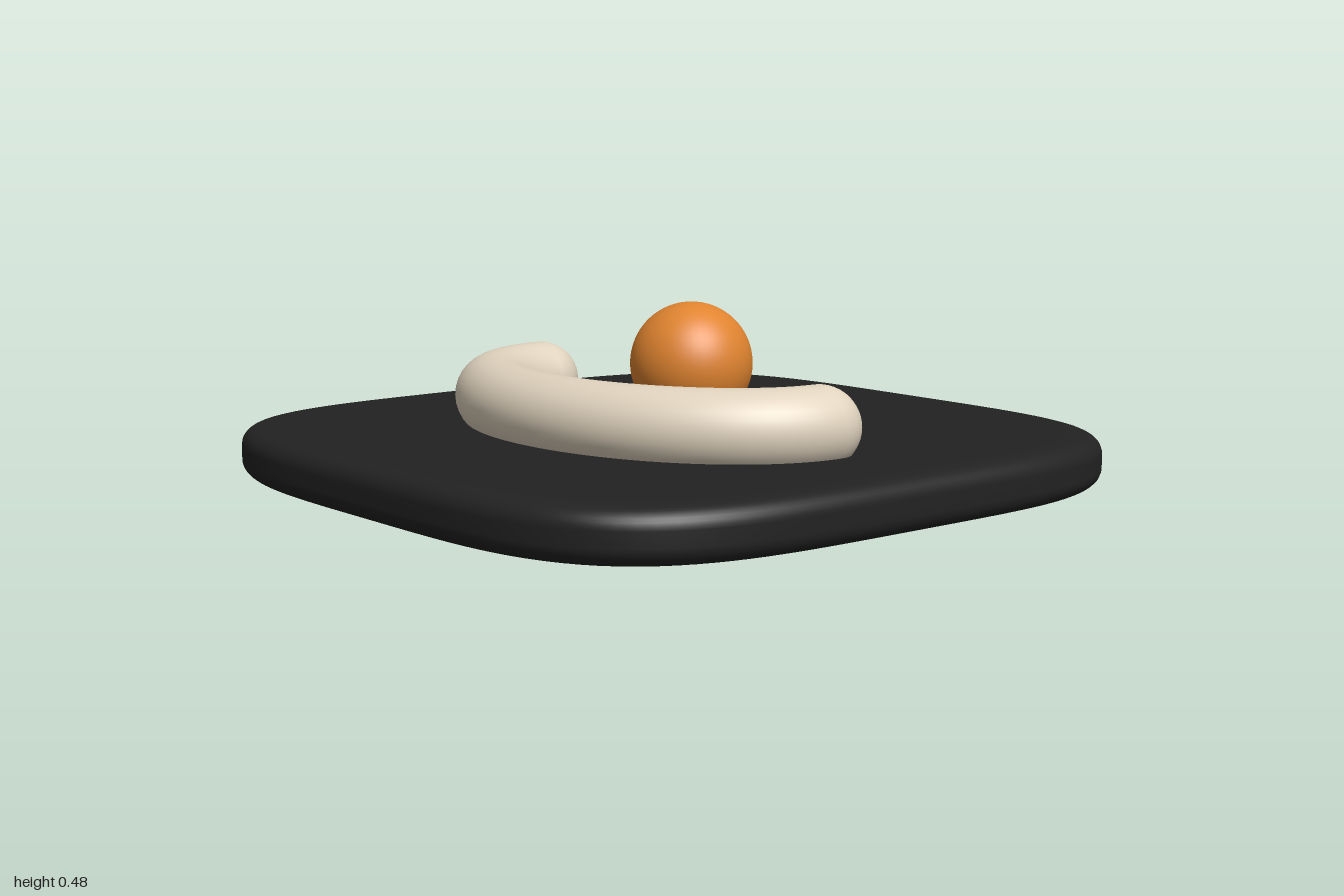
import * as THREE from 'three';
import { mergeVertices } from 'three/addons/utils/BufferGeometryUtils.js';

function material(name, color) {
  const m = new THREE.MeshStandardMaterial({ color });
  m.name = name;
  return m;
}

// Rounded-edge disc whose circular outline is pushed out to a superellipse
function squirclePlate(height, edge, power) {
  const profile = [[0, 0], [0.6, 0], [0.93 - edge / 2, 0]];
  const steps = 8;
  for (const [cy, start] of [[edge, -Math.PI / 2], [height - edge, 0]]) {
    for (let i = 0; i <= steps; i++) {
      const a = start + (i / steps) * Math.PI / 2;
      profile.push([1 - edge + edge * Math.cos(a), cy + edge * Math.sin(a)]);
    }
  }
  profile.push([0.93 - edge / 2, height], [0.6, height], [0, height]);
  let geo = new THREE.LatheGeometry(profile.map(([x, y]) => new THREE.Vector2(x, y)), 160);
  const p = geo.attributes.position;
  for (let i = 0; i < p.count; i++) {
    const x = p.getX(i), z = p.getZ(i), r = Math.hypot(x, z);
    if (r < 1e-6) continue;
    const k = (Math.abs(x / r) ** power + Math.abs(z / r) ** power) ** (-1 / power);
    p.setX(i, x * k);
    p.setZ(i, z * k);
  }
  geo.deleteAttribute('uv');
  geo.deleteAttribute('normal');
  geo = mergeVertices(geo, 1e-5);
  geo.computeVertexNormals();
  return geo;
}

// Half ellipse opening to the back
class HalfEllipse extends THREE.Curve {
  getPoint(t, target = new THREE.Vector3()) {
    const a = Math.PI * t;
    return target.set(-0.6 * Math.cos(a), 0.21, -0.01 + 0.415 * Math.sin(a));
  }
}

export function createModel() {
  const group = new THREE.Group();
  const charcoal = material('charcoal', 0x222222);
  const cream = material('cream', 0xe0d3be);
  const orange = material('orange', 0xe08430);

  const add = (name, geo, mat, x = 0, y = 0, z = 0, parent = group) => {
    const mesh = new THREE.Mesh(geo, mat);
    mesh.name = name;
    mesh.position.set(x, y, z);
    parent.add(mesh);
  };

  // Base
  add('basePlate', squirclePlate(0.14, 0.05, 4), charcoal);

  // Curved bar with round ends
  const arc = new THREE.Group();
  arc.name = 'curvedBar';
  group.add(arc);
  add('barTube', new THREE.TubeGeometry(new HalfEllipse(), 96, 0.11, 32), cream, 0, 0, 0, arc);
  for (const [side, name] of [[1, 'leftBarEnd'], [-1, 'rightBarEnd']]) {
    add(name, new THREE.SphereGeometry(0.11, 32, 24), cream, side * 0.6, 0.21, -0.01, arc);
  }

  // Ball behind the bar
  add('ball', new THREE.SphereGeometry(0.171, 48, 32), orange, 0, 0.31, -0.09);

  return group;
}
